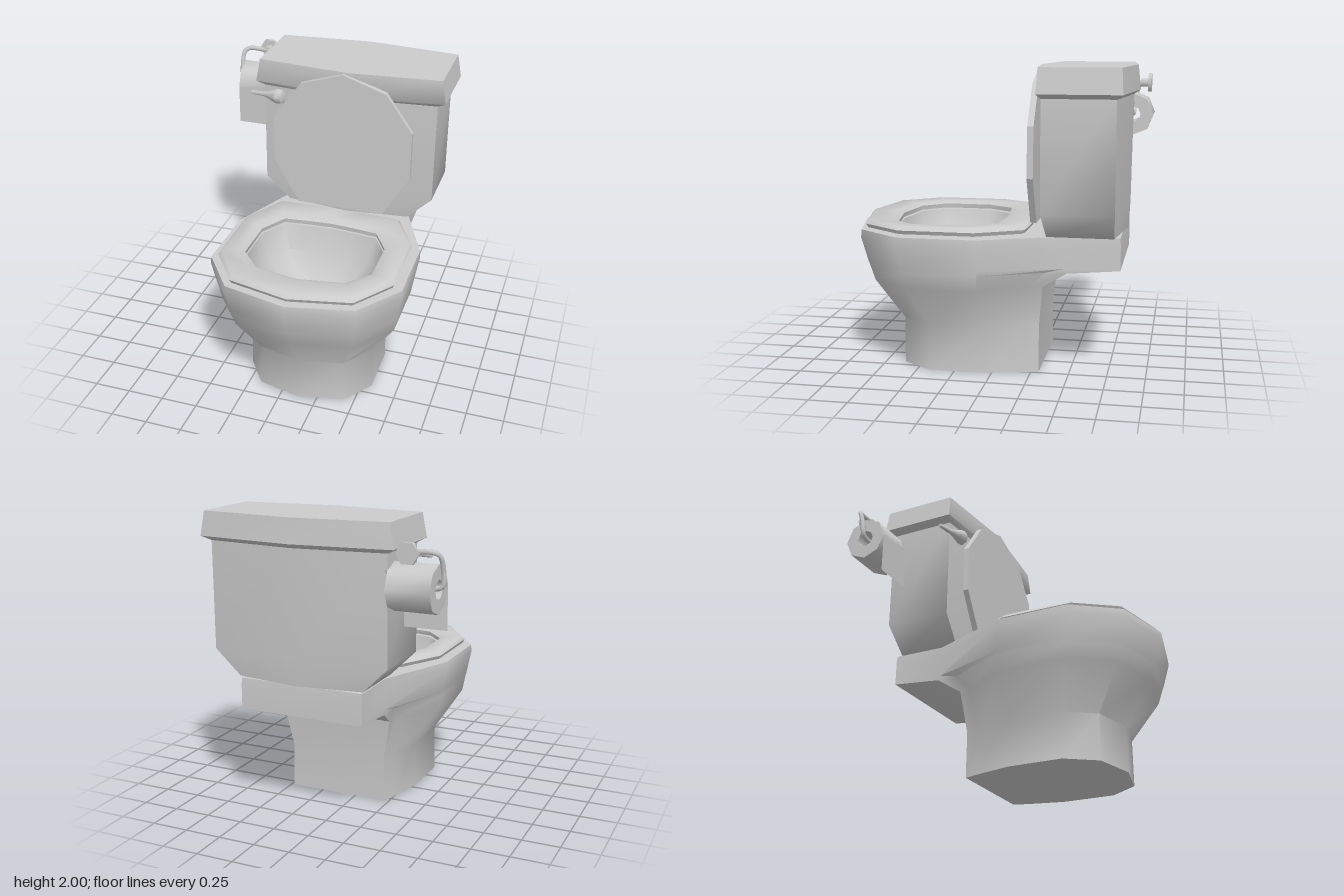
import * as THREE from 'three';
import { toCreasedNormals } from 'three/addons/utils/BufferGeometryUtils.js';

const grey = new THREE.MeshStandardMaterial({ color: 0xcccccc });
const thin = new THREE.MeshStandardMaterial({ color: 0xcccccc, side: THREE.DoubleSide });
const CREASE = 0.9;

function add(parent, name, geometry, material = grey) {
  const mesh = new THREE.Mesh(geometry, material);
  mesh.name = name;
  parent.add(mesh);
  return mesh;
}

// Mirrored ring at height y; half runs front centre -> right side -> back centre as [x, z]
function ring(cx, y, half) {
  const left = half.slice(1, -1).reverse().map(([x, z]) => [-x, z]);
  return [...half, ...left].map(([x, z]) => new THREE.Vector3(cx + x, y, z));
}

// Joins rings into a skin; ends are closed with fans, or joined to each other
function loft(rings, joined = false) {
  const n = rings[0].length, pos = [];
  const tri = (...pts) => pts.forEach((p) => pos.push(p.x, p.y, p.z));
  const count = joined ? rings.length : rings.length - 1;
  for (let r = 0; r < count; r++) {
    const lo = rings[r], hi = rings[(r + 1) % rings.length];
    for (let i = 0; i < n; i++) {
      const j = (i + 1) % n;
      tri(lo[i], lo[j], hi[j]);
      tri(lo[i], hi[j], hi[i]);
    }
  }
  if (!joined) {
    [rings[0], rings[rings.length - 1]].forEach((pts, top) => {
      const c = new THREE.Vector3();
      pts.forEach((p) => c.addScaledVector(p, 1 / n));
      for (let i = 0; i < n; i++) {
        const j = (i + 1) % n;
        if (top) tri(c, pts[i], pts[j]);
        else tri(c, pts[j], pts[i]);
      }
    });
  }
  const g = new THREE.BufferGeometry();
  g.setAttribute('position', new THREE.Float32BufferAttribute(pos, 3));
  return toCreasedNormals(g, CREASE);
}

// Scales a half outline about the point (0, cz)
const scaled = (half, s, cz) => half.map(([x, z]) => [x * s, cz + (z - cz) * s]);

function lathe(profile, sides) {
  const pts = profile.map(([r, y]) => new THREE.Vector2(r, y));
  return toCreasedNormals(new THREE.LatheGeometry(pts, sides), CREASE);
}

export function createModel() {
  const model = new THREE.Group();
  model.name = 'toilet';
  const BX = 0.13, TX = 0.15;

  // Pedestal, bowl and rear shelf as one skin that turns inward over the rim
  const foot = [[0, 0.69], [0.3, 0.62], [0.44, 0.42], [0.44, 0.05], [0.38, -0.2], [0.35, -0.3], [0, -0.3]];
  const rim = [[0, 0.97], [0.435, 0.87], [0.655, 0.57], [0.655, 0.06], [0.43, -0.47], [0.43, -0.83], [0, -0.83]];
  const hole = [[0, 0.7], [0.3, 0.65], [0.435, 0.5], [0.435, 0.18], [0.33, 0], [0.15, -0.02], [0, -0.03]];
  add(model, 'bowl', loft([
    ring(BX, 0, foot),
    ring(BX, 0.31, foot.map(([x, z]) => [x * 0.985, z])),
    ring(BX, 0.59, [[0, 0.88], [0.4, 0.79], [0.605, 0.53], [0.605, 0.06], [0.42, -0.25], [0.4, -0.33], [0, -0.33]]),
    ring(BX, 0.69, [[0, 0.91], [0.41, 0.82], [0.622, 0.54], [0.622, 0.06], [0.43, -0.35], [0.43, -0.49], [0, -0.49]]),
    ring(BX, 0.72, [[0, 0.92], [0.415, 0.83], [0.627, 0.55], [0.627, 0.06], [0.43, -0.47], [0.43, -0.83], [0, -0.83]]),
    ring(BX, 0.88, rim),
    ring(BX, 0.93, scaled(rim, 0.995, 0)),
    ring(BX, 0.93, hole),
    ring(BX, 0.75, scaled(hole, 0.88, 0.32)),
    ring(BX, 0.55, scaled(hole, 0.5, 0.3)),
    ring(BX, 0.48, scaled(hole, 0.15, 0.3)),
  ]));

  // Seat ring with a rounded section
  const seat = [[0, 0.93], [0.41, 0.84], [0.6, 0.57], [0.6, 0.08], [0.44, -0.22], [0.2, -0.23], [0, -0.23]];
  add(model, 'seat', loft([
    ring(BX, 0.94, scaled(seat, 0.98, 0.33)),
    ring(BX, 0.965, seat),
    ring(BX, 0.99, scaled(seat, 0.965, 0.33)),
    ring(BX, 0.99, scaled(hole, 1.12, 0.33)),
    ring(BX, 0.97, hole),
    ring(BX, 0.94, scaled(hole, 1.01, 0.33)),
  ], true));

  // Raised lid
  const lidHalf = [[0, 0.99], [0.3, 0.89], [0.49, 0.63], [0.49, 0.3], [0.31, -0.01]];
  const lidOutline = [...lidHalf, ...lidHalf.slice(1).reverse().map(([x, y]) => [-x, y])];
  const lidShape = new THREE.Shape(lidOutline.map(([x, y]) => new THREE.Vector2(x, y)));
  const lid = add(model, 'lid', new THREE.ExtrudeGeometry(lidShape, { depth: 0.04, bevelEnabled: false }));
  lid.position.set(BX, 1, -0.275);
  lid.rotation.x = -0.01;

  // Tank and its cover: six-sided sections, front and back slightly pointed
  const section = (y, w, front, cornerF, cornerB, back) =>
    ring(TX, y, [[0, front], [w, cornerF], [w, cornerB], [0, back]]);
  add(model, 'tank', loft([
    section(0.93, 0.44, -0.31, -0.36, -0.79, -0.85),
    section(1.1, 0.61, -0.295, -0.345, -0.805, -0.86),
    section(1.83, 0.61, -0.285, -0.345, -0.805, -0.87),
  ]));
  add(model, 'tankCover', loft([
    section(1.81, 0.61, -0.285, -0.345, -0.805, -0.87),
    section(1.84, 0.665, -0.262, -0.32, -0.845, -0.912),
    section(2, 0.638, -0.268, -0.33, -0.835, -0.895),
  ]));

  // Flush lever, thin at the tip and swelling towards its pivot
  const lever = add(model, 'flushLever', lathe(
    [[0, 0], [0.05, 0.02], [0.055, 0.06], [0.035, 0.11], [0.018, 0.16], [0.013, 0.27], [0, 0.27]], 8));
  lever.position.set(-0.3, 1.745, -0.315);
  lever.rotation.set(0, -0.17, Math.PI / 2 + 0.04);

  // Paper roll with a loose sheet hanging on its front side
  const holder = new THREE.Group();
  holder.name = 'paperHolder';
  model.add(holder);
  const roll = add(holder, 'paperRoll', lathe(
    [[0.06, -0.14], [0.15, -0.14], [0.15, 0.14], [0.06, 0.14], [0.06, -0.14]], 8));
  roll.rotation.z = Math.PI / 2;
  roll.position.set(-0.65, 1.625, -0.82);
  const sheet = add(holder, 'looseSheet', new THREE.PlaneGeometry(0.28, 0.28), thin);
  sheet.position.set(-0.65, 1.485, -0.669);

  // Bent wire that carries the roll
  const path = [[-0.58, 1.85, -0.88], [-0.68, 1.85, -0.88], [-0.78, 1.85, -0.88], [-0.81, 1.83, -0.86],
    [-0.82, 1.74, -0.83], [-0.815, 1.65, -0.82], [-0.78, 1.63, -0.82], [-0.52, 1.63, -0.82],
    [-0.49, 1.65, -0.82], [-0.465, 1.72, -0.82]].map((p) => new THREE.Vector3(...p));
  const wire = new THREE.CatmullRomCurve3(path, false, 'centripetal');
  add(holder, 'wireArm', new THREE.TubeGeometry(wire, 40, 0.016, 6), thin);

  // Hexagonal wall plate and its stem
  for (const [name, r, depth, z] of [['wallPlate', 0.072, 0.025, -0.937], ['plateStem', 0.032, 0.06, -0.9]]) {
    const part = add(holder, name, new THREE.CylinderGeometry(r, r, depth, 6));
    part.rotation.set(Math.PI / 2, Math.PI / 6, 0);
    part.position.set(-0.64, 1.845, z);
  }
  return model;
}
